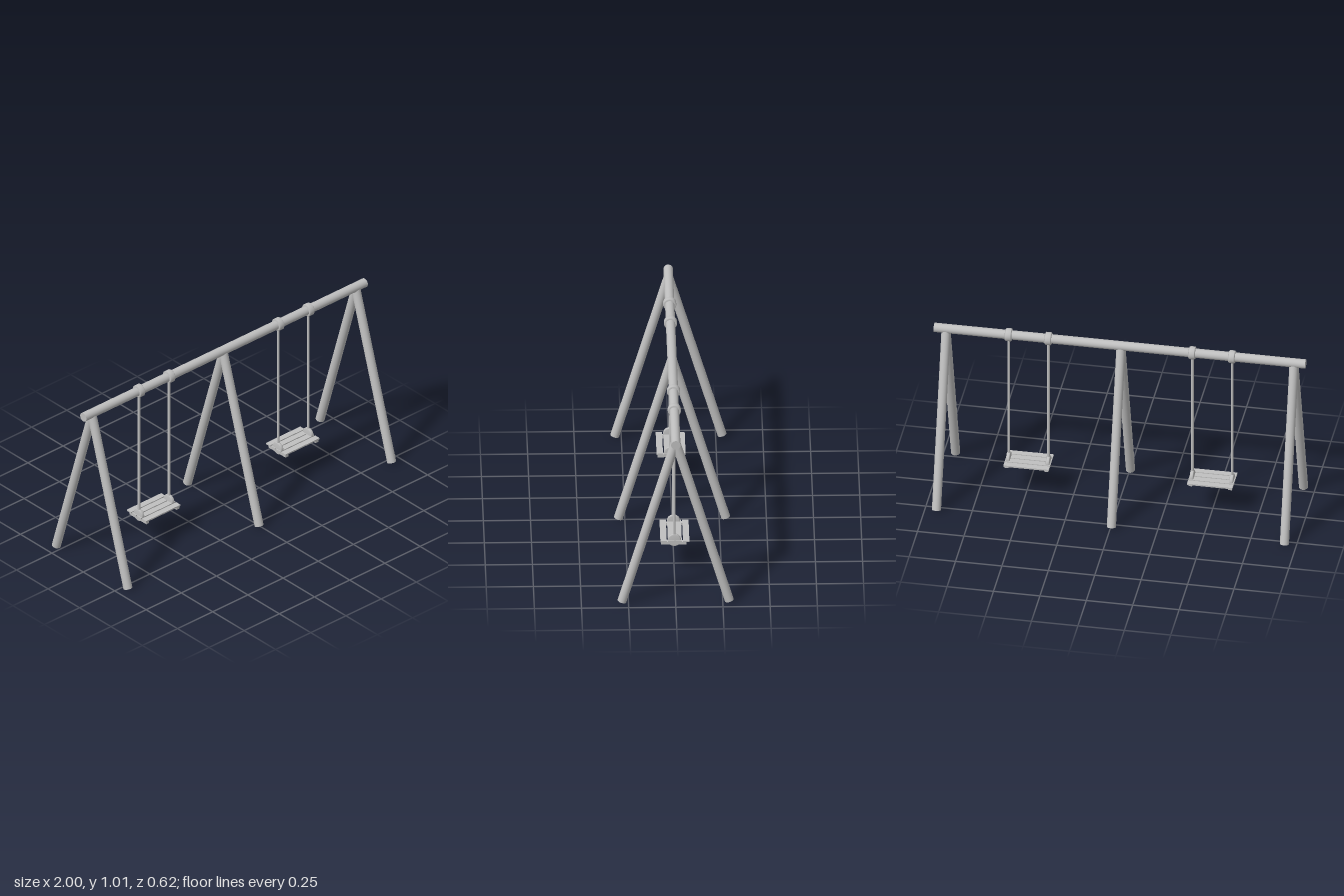
import * as THREE from 'three';

const metal = new THREE.MeshStandardMaterial({ color: 0xbfbfbf });
metal.name = 'greyMetal';

function add(parent, name, geometry, x = 0, y = 0, z = 0) {
  const mesh = new THREE.Mesh(geometry, metal);
  mesh.name = name;
  mesh.position.set(x, y, z);
  parent.add(mesh);
  return mesh;
}

// Round tube between two points
function rod(parent, name, a, b, radius, sides = 24) {
  const dir = b.clone().sub(a);
  const mesh = add(parent, name, new THREE.CylinderGeometry(radius, radius, dir.length(), sides));
  mesh.position.copy(a).add(b).multiplyScalar(0.5);
  mesh.quaternion.setFromUnitVectors(new THREE.Vector3(0, 1, 0), dir.normalize());
  return mesh;
}

// Disc with softened rims, its axis along x
function collar(radius, width, bevel) {
  const h = width / 2;
  const profile = [[0, -h], [radius - bevel, -h], [radius, -h + bevel], [radius, h - bevel], [radius - bevel, h], [0, h]];
  return new THREE.LatheGeometry(profile.map(([r, y]) => new THREE.Vector2(r, y)), 32).rotateZ(Math.PI / 2);
}

const V = (x, y, z) => new THREE.Vector3(x, y, z);
const BEAM_Y = 0.971;

function createSwing(centre) {
  const swing = new THREE.Group();
  swing.name = 'swing';
  swing.position.x = centre;
  for (const side of [-1, 1]) {
    const x = side * 0.107;
    add(swing, 'beamCollar', collar(0.035, 0.036, 0.005), x, BEAM_Y, 0);
    rod(swing, 'hangerRod', V(x, 0.195, 0), V(x, 0.95, 0), 0.0075, 16);
    add(swing, 'seatJoint', collar(0.035, 0.02, 0.004), x, 0.193, 0);
    add(swing, 'seatBearer', new THREE.BoxGeometry(0.02, 0.016, 0.135), x, 0.177, 0.002);
  }
  // Four slats laid across the two bearers
  for (let i = 0; i < 4; i++) {
    add(swing, 'seatSlat', new THREE.BoxGeometry(0.244, 0.008, 0.034), 0, 0.189, 0.057 - i * 0.04);
  }
  return swing;
}

export function createModel() {
  const model = new THREE.Group();
  model.name = 'swingSet';

  rod(model, 'topBeam', V(-1, BEAM_Y, 0), V(1, BEAM_Y, 0), 0.025, 32);

  // Three pairs of splayed legs
  for (const x of [-0.937, -0.005, 0.937]) {
    for (const side of [-1, 1]) {
      rod(model, side > 0 ? 'frontLeg' : 'backLeg', V(x, 0.007, side * 0.2845), V(x, 0.958, 0), 0.0245);
    }
  }

  for (const x of [-0.497, 0.492]) model.add(createSwing(x));
  return model;
}
